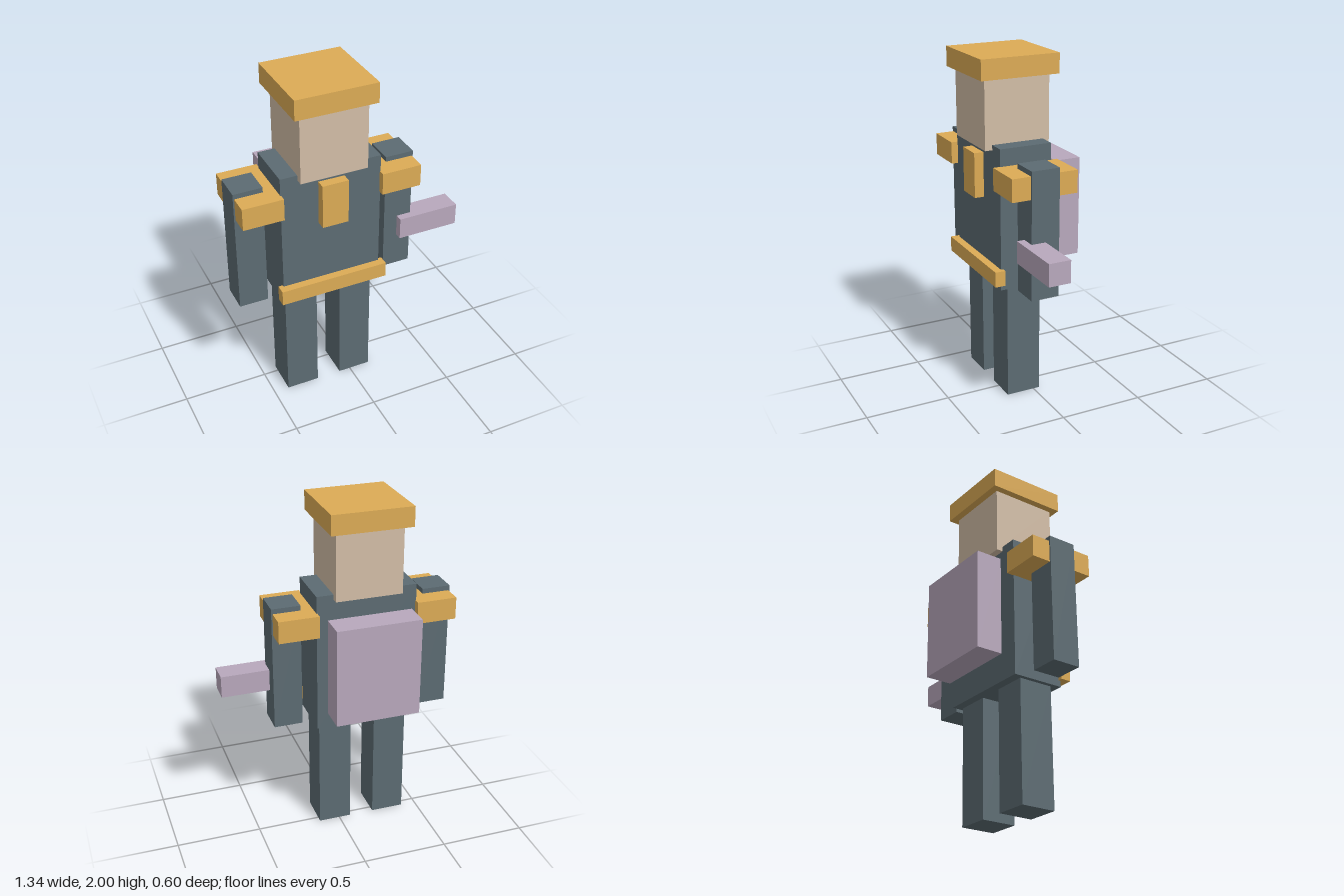
import * as THREE from 'three';

const material = (color) => new THREE.MeshStandardMaterial({ color, flatShading: true });

export function createModel() {
  const model = new THREE.Group();
  model.name = 'blockFigure';

  const cloth = material(0x5c6b72);
  const gold = material(0xdcab55);
  const skin = material(0xd2bda6);
  const mauve = material(0xb8a8bc);

  // Every part is a block given by its size and centre
  function block(name, mat, size, centre) {
    const mesh = new THREE.Mesh(new THREE.BoxGeometry(...size), mat);
    mesh.name = name;
    mesh.position.set(...centre);
    model.add(mesh);
  }

  // The body's midline sits off centre because of the outstretched tool
  const mid = -0.143;

  // Body and head
  block('torso', cloth, [0.588, 0.825, 0.31], [mid, 1.107, 0.065]);
  block('head', skin, [0.39, 0.4, 0.392], [mid, 1.69, 0.067]);
  block('cap', gold, [0.47, 0.115, 0.47], [mid, 1.9425, 0.064]);

  // Limbs and shoulder pads, mirrored about the midline
  for (const [side, s] of [['left', 1], ['right', -1]]) {
    block(side + 'Leg', cloth, [0.195, 0.7, 0.207], [mid + s * 0.171, 0.35, 0.066]);
    block(side + 'Arm', cloth, [0.168, 0.742, 0.168], [mid + s * 0.447, 1.079, 0.065]);
    block(side + 'ShoulderPad', gold, [0.234, 0.13, 0.392], [mid + s * 0.406, 1.356, 0.064]);
  }

  // Trim on the front
  block('chestPlate', gold, [0.153, 0.262, 0.06], [mid, 1.319, 0.246]);
  block('belt', gold, [0.64, 0.09, 0.06], [mid, 0.776, 0.236]);

  // Equipment
  block('backpack', mauve, [0.495, 0.582, 0.156], [mid, 1.106, -0.222]);
  block('handTool', mauve, [0.368, 0.13, 0.13], [0.486, 0.975, 0.129]);

  return model;
}
